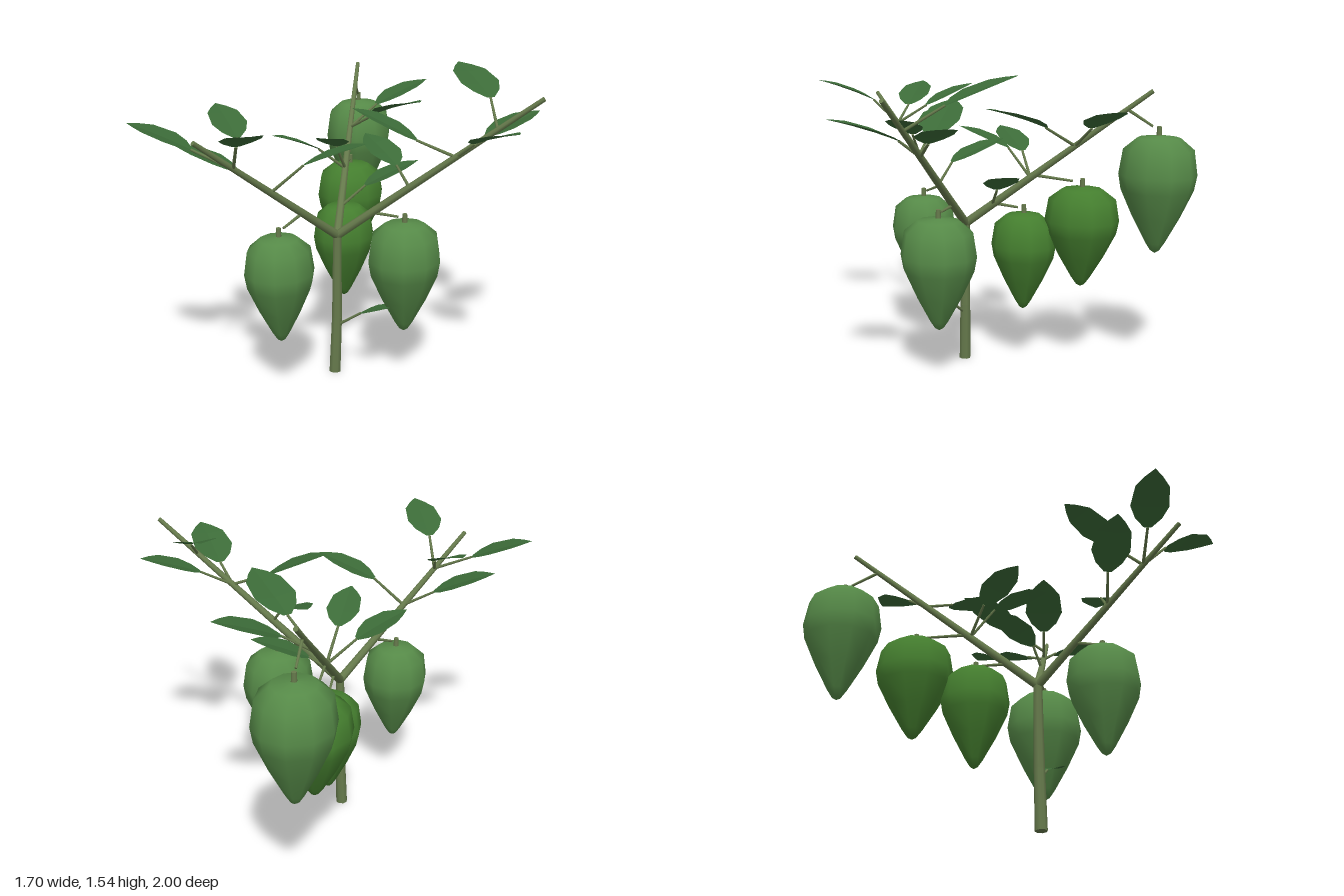
import * as THREE from 'three';

const V = (p) => new THREE.Vector3(...p);
const mat = (color, extra = {}) => new THREE.MeshStandardMaterial({ color, ...extra });

// tapered limb between two points
function limb(name, a, b, r0, r1, material, sides = 8) {
  const dir = b.clone().sub(a);
  const mesh = new THREE.Mesh(new THREE.CylinderGeometry(r1, r0, dir.length(), sides), material);
  mesh.name = name;
  mesh.position.copy(a).add(b).multiplyScalar(0.5);
  mesh.quaternion.setFromUnitVectors(new THREE.Vector3(0, 1, 0), dir.normalize());
  return mesh;
}

// faceted leaf blade along +z, one unit long, folded slightly along the midrib
function leafGeometry() {
  const rows = [[0, 0.06], [0.14, 0.2], [0.34, 0.29], [0.68, 0.25], [0.86, 0.13], [1, 0.005]];
  const pos = [], index = [];
  rows.forEach(([z, w], i) => {
    const arch = 0.02 * Math.sin(z * Math.PI);
    for (const s of [-1, 0, 1]) pos.push(s * w, arch + Math.abs(s) * w * 0.12, z);
    if (i === 0) return;
    for (let k = 0; k < 2; k++) {
      const a = (i - 1) * 3 + k, b = a + 3;
      index.push(a, b, a + 1, a + 1, b, b + 1);
    }
  });
  const g = new THREE.BufferGeometry();
  g.setAttribute('position', new THREE.Float32BufferAttribute(pos, 3));
  g.setIndex(index);
  g.computeVertexNormals();
  return g;
}

// drop-shaped fruit: [radius fraction, height fraction]
const FRUIT = [[0, 0], [0.12, 0.025], [0.25, 0.09], [0.61, 0.31], [0.93, 0.54], [1, 0.67], [0.9, 0.88], [0.55, 0.975], [0, 1]];

export function createModel() {
  const model = new THREE.Group();
  const bark = mat(0x667a4c);
  const leafMat = mat(0x3c6b38, { flatShading: true, side: THREE.DoubleSide });
  const fruitMats = [mat(0x568a48), mat(0x457f2f)];
  const blade = leafGeometry();

  // trunk
  const foot = V([-0.135, 0, 0.123]), bend = V([-0.124, 0.3, 0.115]), fork = V([-0.12, 0.735, 0.11]);
  model.add(limb('lowerTrunk', foot, bend, 0.03, 0.027, bark));
  model.add(limb('upperTrunk', bend, fork, 0.027, 0.022, bark));

  // three main branches
  const ends = { left: V([0.845, 1.46, 0.005]), back: V([-0.345, 1.43, -0.785]), front: V([-0.475, 1.34, 0.845]) };
  for (const [name, end] of Object.entries(ends)) {
    model.add(limb(name + 'Branch', fork, end, 0.022, 0.011, bark));
  }
  const node = (branch, t) => branch === 'trunk'
    ? foot.clone().lerp(fork, t)
    : fork.clone().lerp(ends[branch], t);

  // leaves: branch, position along it, blade base, blade tip
  const leaves = [
    ['trunk', 0.34, [0.01, 0.345, 0.13], [0.2, 0.42, 0.165]],
    ['left', 0.37, [0.16, 1.1, 0.04], [-0.06, 1.2, -0.13]],
    ['left', 0.595, [0.27, 1.24, 0.08], [-0.03, 1.38, 0.13]],
    ['left', 0.595, [0.555, 1.25, 0.1], [0.8, 1.36, 0.31]],
    ['left', 0.79, [0.565, 1.42, -0.14], [0.34, 1.54, -0.385]],
    ['left', 0.595, [0.57, 1.25, -0.06], [0.78, 1.35, -0.26]],
    ['back', 0.15, [-0.05, 0.94, -0.1], [0.175, 1.05, -0.26]],
    ['back', 0.36, [-0.31, 1.1, -0.12], [-0.47, 1.2, 0.08]],
    ['back', 0.36, [-0.2, 1.13, -0.09], [-0.15, 1.23, 0.16]],
    ['back', 0.6, [-0.07, 1.26, -0.345], [0.215, 1.37, -0.16]],
    ['back', 0.6, [-0.15, 1.26, -0.55], [0.06, 1.37, -0.77]],
    ['front', 0.5, [-0.15, 1.17, 0.435], [0.135, 1.28, 0.38]],
    ['front', 0.5, [-0.45, 1.13, 0.5], [-0.73, 1.25, 0.58]],
    ['front', 0.75, [-0.44, 1.29, 0.51], [-0.64, 1.4, 0.33]],
    ['front', 0.75, [-0.57, 1.27, 0.7], [-0.85, 1.38, 0.76]],
    ['front', 0.75, [-0.31, 1.32, 0.77], [-0.13, 1.43, 1.0]],
  ];
  for (const [branch, t, b, e] of leaves) {
    const base = V(b), tip = V(e);
    model.add(limb('leafStalk', node(branch, t), base, 0.008, 0.006, bark, 6));
    const leaf = new THREE.Mesh(blade, leafMat);
    leaf.name = 'leaf';
    leaf.position.copy(base);
    leaf.lookAt(tip);
    leaf.scale.setScalar(base.distanceTo(tip));
    model.add(leaf);
  }

  // hanging fruits: branch, position along it, [x, z], bottom, top, radius, colour
  const fruits = [
    ['left', 0.18, [0.22, 0.085], 0.265, 0.835, 0.19, 0],
    ['front', 0.27, [-0.28, 0.445], 0.285, 0.82, 0.175, 0],
    ['back', 0.16, [-0.2, -0.18], 0.295, 0.805, 0.166, 1],
    ['back', 0.38, [-0.27, -0.465], 0.435, 0.95, 0.187, 1],
    ['back', 0.87, [-0.355, -0.82], 0.63, 1.22, 0.191, 0],
  ];
  for (const [branch, t, [x, z], y0, y1, r, tint] of fruits) {
    const profile = FRUIT.map(([fr, fy]) => new THREE.Vector2(fr * r, fy * (y1 - y0)));
    const body = new THREE.Mesh(new THREE.LatheGeometry(profile, 10, Math.PI / 2), fruitMats[tint]);
    body.name = 'fruit';
    body.position.set(x, y0, z);
    body.scale.x = 0.95;
    model.add(body);
    model.add(limb('fruitStem', V([x, y1 - 0.01, z]), V([x, y1 + 0.04, z]), 0.014, 0.012, bark));
    // twig stops just short of the fruit stem
    const start = node(branch, t);
    const stop = start.clone().lerp(V([x, y1 + 0.02, z]), 0.8);
    model.add(limb('fruitTwig', start, stop, 0.008, 0.006, bark, 6));
  }
  return model;
}
